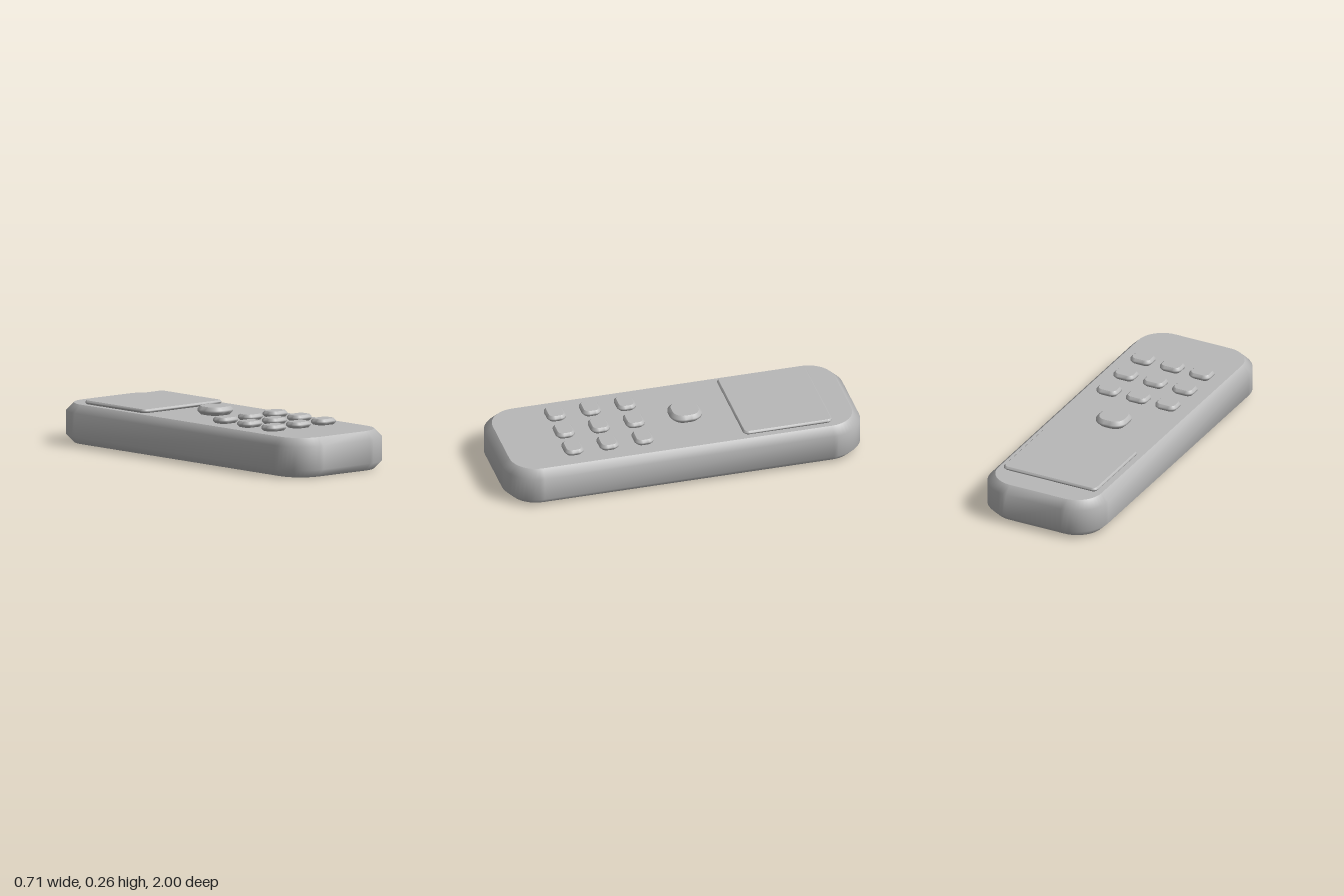
import * as THREE from 'three';

// Outline of a rounded rectangle in the ground plane, as [x, z] pairs
function outline(halfX, halfZ, radius, segments = 12) {
  const points = [];
  for (let corner = 0; corner < 4; corner++) {
    const sx = corner === 0 || corner === 3 ? 1 : -1;
    const sz = corner < 2 ? 1 : -1;
    for (let i = 0; i <= segments; i++) {
      const a = (corner + i / segments) * Math.PI / 2;
      points.push([sx * (halfX - radius) + radius * Math.cos(a), sz * (halfZ - radius) + radius * Math.sin(a)]);
    }
  }
  return points;
}

// Rounded slab with chamfered rims: smooth sides, crisp flat caps
function slabGeometry(halfX, halfZ, height, radius, chamfer) {
  const inner = outline(halfX - chamfer, halfZ - chamfer, radius - chamfer);
  const outer = outline(halfX, halfZ, radius);
  const rings = [[inner, 0], [outer, chamfer], [outer, height - chamfer], [inner, height]];
  const n = inner.length;
  const positions = [];
  const indices = [];
  const addRing = ([ring, y]) => {
    const start = positions.length / 3;
    ring.forEach(([x, z]) => positions.push(x, y, z));
    return start;
  };

  // Sides
  rings.forEach(addRing);
  for (let r = 0; r < 3; r++) {
    for (let i = 0; i < n; i++) {
      const a = r * n + i, b = r * n + (i + 1) % n;
      indices.push(a, a + n, b, b, a + n, b + n);
    }
  }
  // Bottom and top caps
  const bottom = addRing(rings[0]);
  const top = addRing(rings[3]);
  for (let i = 1; i < n - 1; i++) {
    indices.push(bottom, bottom + i, bottom + i + 1);
    indices.push(top, top + i + 1, top + i);
  }

  const geometry = new THREE.BufferGeometry();
  geometry.setAttribute('position', new THREE.Float32BufferAttribute(positions, 3));
  geometry.setIndex(indices);
  geometry.computeVertexNormals();
  return geometry;
}

export function createModel() {
  const group = new THREE.Group();
  group.name = 'remoteControl';
  const grey = new THREE.MeshStandardMaterial({ color: 0xb8b8b8 });
  grey.name = 'grey plastic';

  const add = (name, geometry, x, y, z) => {
    const mesh = new THREE.Mesh(geometry, grey);
    mesh.name = name;
    mesh.position.set(x, y, z);
    group.add(mesh);
  };

  const faceY = 0.215;

  // Main casing
  add('body', slabGeometry(0.357, 1, faceY, 0.19, 0.043), 0, 0, 0);

  // Raised display panel
  add('screen', slabGeometry(0.286, 0.249, 0.021, 0.03, 0.008), 0, faceY, -0.574);

  // Large round-cornered button
  add('mainButton', slabGeometry(0.09, 0.089, 0.045, 0.072, 0.017), 0, faceY, -0.071);

  // Three by three keypad
  const key = slabGeometry(0.064, 0.053, 0.033, 0.038, 0.012);
  for (let row = 0; row < 3; row++) {
    for (let column = 0; column < 3; column++) {
      add(`keypadButton${row * 3 + column + 1}`, key, (column - 1) * 0.179, faceY, 0.214 + row * 0.196);
    }
  }

  return group;
}
